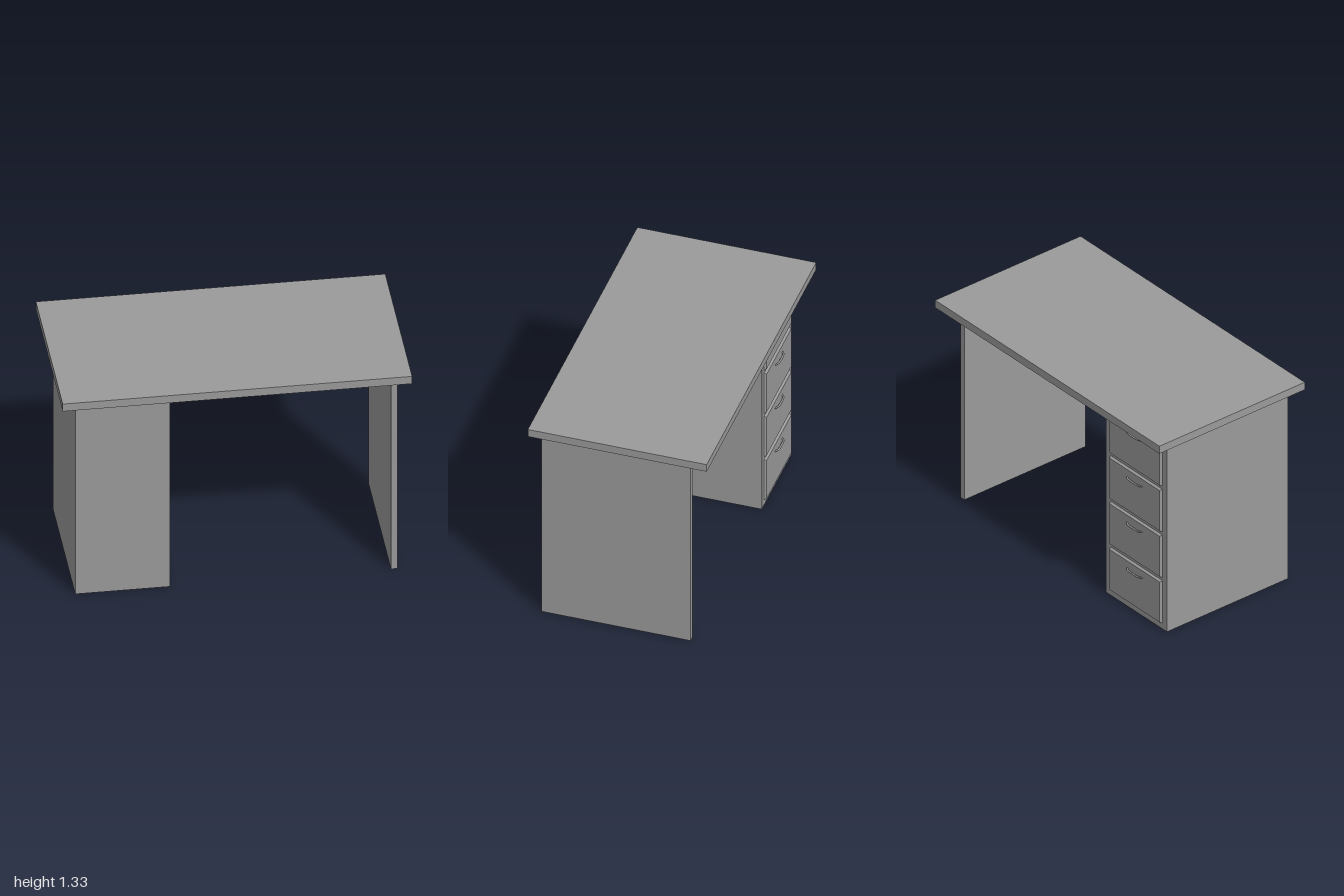
import * as THREE from 'three';

const material = new THREE.MeshStandardMaterial({ color: 0x9a9a9a });

// Box given by its minimum and maximum corners
function slab(name, [x0, y0, z0], [x1, y1, z1]) {
  const mesh = new THREE.Mesh(new THREE.BoxGeometry(x1 - x0, y1 - y0, z1 - z0), material);
  mesh.position.set((x0 + x1) / 2, (y0 + y1) / 2, (z0 + z1) / 2);
  mesh.name = name;
  return mesh;
}

// Drawer front: a thin box whose outer (-z) face is inset to give sloping edges
function drawerFrontGeometry(w, h, d, inset) {
  const geometry = new THREE.BoxGeometry(w, h, d);
  const p = geometry.attributes.position;
  for (let i = 0; i < p.count; i++) {
    if (p.getZ(i) < 0) {
      p.setX(i, p.getX(i) - Math.sign(p.getX(i)) * inset);
      p.setY(i, p.getY(i) - Math.sign(p.getY(i)) * inset);
    }
  }
  geometry.computeVertexNormals();
  return geometry;
}

// Bow handle: a flattened tube arching out of the drawer face
function handleGeometry(width, reach) {
  const curve = new THREE.CatmullRomCurve3([
    new THREE.Vector3(-width / 2, 0, 0.004),
    new THREE.Vector3(-width * 0.36, 0, -reach * 0.75),
    new THREE.Vector3(0, 0, -reach),
    new THREE.Vector3(width * 0.36, 0, -reach * 0.75),
    new THREE.Vector3(width / 2, 0, 0.004),
  ]);
  return new THREE.TubeGeometry(curve, 24, 0.006, 10, false).scale(1, 0.7, 1);
}

export function createModel() {
  const desk = new THREE.Group();
  desk.name = 'desk';

  desk.add(slab('desktop', [-1, 1.283, -0.533], [1, 1.333, 0.533]));
  desk.add(slab('sidePanel', [0.887, 0, -0.412], [0.923, 1.283, 0.476]));
  desk.add(slab('pedestal', [-0.92, 0, -0.412], [-0.377, 1.283, 0.476]));

  // Four equal drawers on the back of the pedestal
  const front = drawerFrontGeometry(0.464, 0.286, 0.014, 0.008);
  const handle = handleGeometry(0.135, 0.015);
  for (let i = 0; i < 4; i++) {
    const drawer = new THREE.Group();
    drawer.name = `drawer${i + 1}`;
    drawer.position.set(-0.648, 0.181 + i * 0.3065, -0.419);

    const face = new THREE.Mesh(front, material);
    face.name = 'drawerFront';
    const pull = new THREE.Mesh(handle, material);
    pull.name = 'drawerHandle';
    pull.position.set(0, 0.086, -0.006);
    drawer.add(face, pull);
    desk.add(drawer);
  }
  return desk;
}
